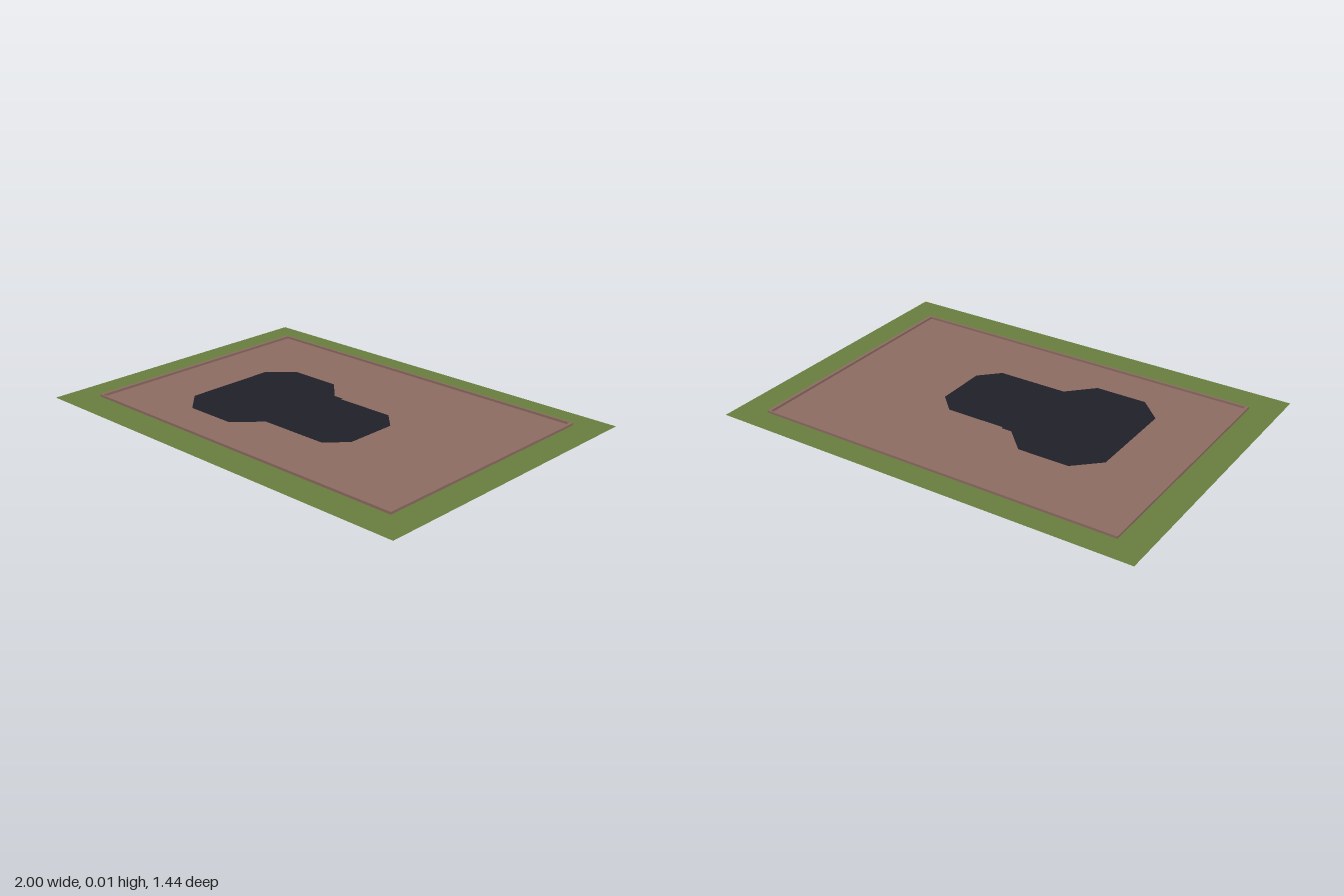
import * as THREE from 'three';

const material = (name, color) => {
  const m = new THREE.MeshStandardMaterial({ color, side: THREE.DoubleSide });
  m.name = name;
  return m;
};

// Outline points are [x, z] on the ground
const toPoints = (outline) => outline.map(([x, z]) => new THREE.Vector2(x, -z));
const rectangle = (x0, x1, z0, z1) => [[x0, z0], [x0, z1], [x1, z1], [x1, z0]];

// Flat ground area with an optional opening
function groundArea(name, mat, outline, opening) {
  const shape = new THREE.Shape(toPoints(outline));
  if (opening) shape.holes.push(new THREE.Path(toPoints(opening)));
  const mesh = new THREE.Mesh(new THREE.ShapeGeometry(shape).rotateX(-Math.PI / 2), mat);
  mesh.name = name;
  return mesh;
}

export function createModel() {
  const grass = material('grass green', 0x6a8040);
  const soil = material('soil brown', 0x8f6d64);
  const dark = material('dark slate', 0x20202a);

  const left = -0.868, right = 0.862, back = -0.605, front = 0.573;
  const plot = rectangle(left, right, back, front);
  const patch = [
    [-0.567, -0.16], [-0.455, -0.267], [-0.215, -0.267], [-0.11, -0.16], [-0.06, -0.16],
    [-0.06, -0.15], [0.22, -0.15], [0.305, -0.065], [0.305, 0.18], [0.22, 0.267],
    [-0.11, 0.267], [-0.22, 0.38], [-0.46, 0.38], [-0.567, 0.275],
  ];

  const group = new THREE.Group();
  group.name = 'gardenPlot';

  // Nested flat areas, each cut out of the one around it
  group.add(
    groundArea('lawn', grass, rectangle(-1, 1, -0.72, 0.72), plot),
    groundArea('soilBed', soil, plot, patch),
    groundArea('darkPatch', dark, patch),
  );

  // Low curb around the soil bed
  const curb = new THREE.Group();
  curb.name = 'curb';
  const height = 0.011, sideWidth = 0.014, endWidth = 0.008;
  const rail = (name, w, d, x, z) => {
    const mesh = new THREE.Mesh(new THREE.BoxGeometry(w, height, d), soil);
    mesh.name = name;
    mesh.position.set(x, height / 2, z);
    curb.add(mesh);
  };
  const midX = (left + right) / 2, midZ = (front + back) / 2;
  rail('curbBack', right - left, endWidth, midX, back + endWidth / 2);
  rail('curbFront', right - left, endWidth, midX, front - endWidth / 2);
  const sideLength = front - back - 2 * endWidth;
  rail('curbRight', sideWidth, sideLength, left + sideWidth / 2, midZ);
  rail('curbLeft', sideWidth, sideLength, right - sideWidth / 2, midZ);
  group.add(curb);

  return group;
}
